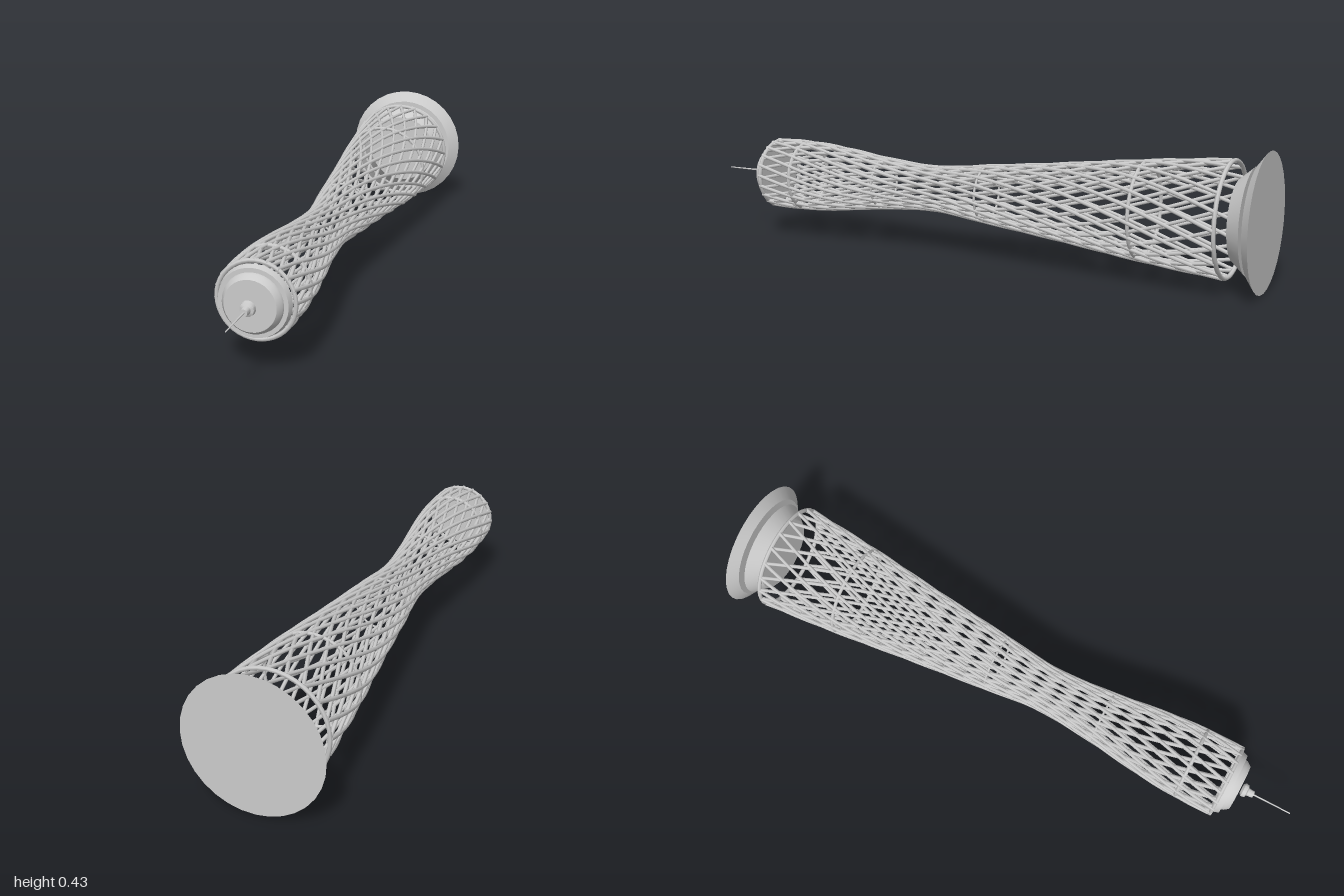
import * as THREE from 'three';
import { toCreasedNormals, mergeGeometries } from 'three/addons/utils/BufferGeometryUtils.js';

const AXIS_Y = 0.216;
const RODS = 20;         // rods per winding direction
const TWIST = 2.1;       // radians per unit of length
const Z0 = -0.89, Z1 = 0.78;

const material = new THREE.MeshStandardMaterial({ color: 0xcccccc });

// Waisted outline of the lattice: [z, radius]
const outline = new THREE.SplineCurve([
  [-0.89, 0.178], [-0.62, 0.153], [-0.35, 0.121], [-0.07, 0.091], [0.12, 0.071],
  [0.33, 0.085], [0.5, 0.106], [0.65, 0.117], [0.78, 0.116],
].map(([z, r]) => new THREE.Vector2(z, r)));
const samples = outline.getSpacedPoints(200);

function radiusAt(z) {
  let i = 1;
  while (i < samples.length - 1 && samples[i].x < z) i++;
  const a = samples[i - 1], b = samples[i];
  return THREE.MathUtils.mapLinear(z, a.x, b.x, a.y, b.y);
}

// One rod winding around the outline in the given direction
function rodGeometry(index, dir) {
  const points = [];
  for (let i = 0; i <= 20; i++) {
    const z = THREE.MathUtils.lerp(Z0, Z1, i / 20);
    const angle = (index / RODS) * Math.PI * 2 + dir * TWIST * (z - Z0);
    const r = radiusAt(z) + dir * 0.002;
    points.push(new THREE.Vector3(r * Math.cos(angle), r * Math.sin(angle), z));
  }
  return new THREE.TubeGeometry(new THREE.CatmullRomCurve3(points), 40, 0.0062, 6);
}

// Turned solid along z from [radius, z] pairs, running back to front
function turned(name, profile, sides = 32) {
  const geo = new THREE.LatheGeometry(profile.map(([r, z]) => new THREE.Vector2(r, z)), sides);
  geo.rotateX(Math.PI / 2);
  const mesh = new THREE.Mesh(toCreasedNormals(geo, 0.5), material);
  mesh.name = name;
  return mesh;
}

export function createModel() {
  const model = new THREE.Group();
  model.name = 'latticeTower';
  const tower = new THREE.Group();
  tower.name = 'tower';
  tower.position.y = AXIS_Y;
  model.add(tower);

  // Two crossing sets of rods
  for (const [name, dir] of [['leftWoundRods', 1], ['rightWoundRods', -1]]) {
    const rods = Array.from({ length: RODS }, (_, i) => rodGeometry(i, dir));
    const mesh = new THREE.Mesh(mergeGeometries(rods), material);
    mesh.name = name;
    tower.add(mesh);
  }

  // Hoops tying the rods together
  for (const [z, tube] of [[-0.892, 0.007], [-0.62, 0.006], [-0.07, 0.004], [0.33, 0.004], [0.65, 0.007], [0.775, 0.007]]) {
    const hoop = new THREE.Mesh(new THREE.TorusGeometry(radiusAt(z), tube, 6, 40), material);
    hoop.name = 'hoop';
    hoop.position.z = z;
    tower.add(hoop);
  }

  // Stepped foot
  tower.add(turned('basePlate', [[0, -1], [0.216, -1], [0.18, -0.973], [0, -0.973]]));
  tower.add(turned('baseStep', [[0, -0.96], [0.167, -0.96], [0.128, -0.915], [0, -0.915]]));

  // Stepped cap, finial and mast
  tower.add(turned('capLower', [[0, 0.78], [0.109, 0.78], [0.103, 0.799], [0, 0.799]]));
  tower.add(turned('capUpper', [[0, 0.799], [0.09, 0.799], [0.088, 0.808], [0.077, 0.823], [0, 0.823]]));
  tower.add(turned('finial', [[0, 0.83], [0.016, 0.83], [0.023, 0.836], [0.021, 0.848],
    [0.013, 0.852], [0.011, 0.872], [0, 0.872]], 16));
  tower.add(turned('mast', [[0, 0.87], [0.003, 0.87], [0.002, 1], [0, 1]], 8));

  return model;
}
